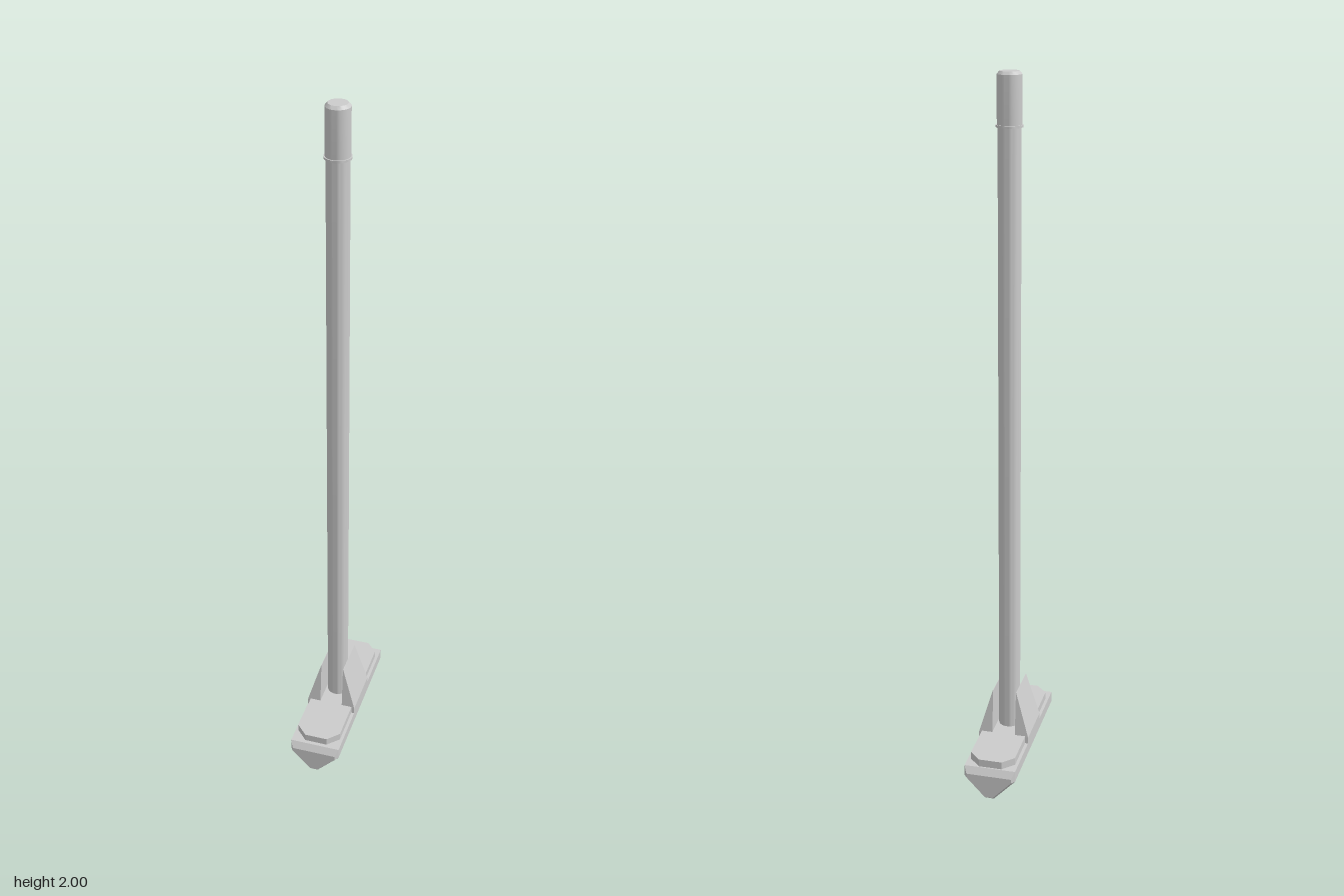
import * as THREE from 'three';
import { toCreasedNormals } from 'three/addons/utils/BufferGeometryUtils.js';

const AXIS_Z = -0.005; // pole, plate and brackets sit slightly behind centre

// Joins rings of [x, y, z] points with side walls and caps both ends.
// Rings run counter-clockwise as seen from the end they advance towards.
function loft(rings) {
  const n = rings[0].length;
  const index = [];
  for (let r = 0; r < rings.length - 1; r++) {
    for (let i = 0; i < n; i++) {
      const a = r * n + i, b = r * n + (i + 1) % n;
      index.push(a, b, b + n, a, b + n, a + n);
    }
  }
  const last = (rings.length - 1) * n;
  for (let i = 1; i < n - 1; i++) {
    index.push(0, i + 1, i, last, last + i, last + i + 1);
  }
  const geometry = new THREE.BufferGeometry();
  geometry.setAttribute('position', new THREE.Float32BufferAttribute(rings.flat(2), 3));
  geometry.setIndex(index);
  const flat = geometry.toNonIndexed();
  flat.computeVertexNormals();
  return flat;
}

export function createModel() {
  const group = new THREE.Group();
  const material = new THREE.MeshStandardMaterial({ color: 0xcccccc });
  const add = (name, geometry) => {
    const mesh = new THREE.Mesh(geometry, material);
    mesh.name = name;
    group.add(mesh);
    return mesh;
  };

  // Head: V-shaped keel with chamfered ends
  const body = [[-0.012, 0], [0.012, 0], [0.074, 0.065], [0.074, 0.097], [-0.074, 0.097], [-0.074, 0.065]];
  const end = [[-0.012, 0.01], [0.012, 0.01], [0.065, 0.066], [0.065, 0.078], [-0.065, 0.078], [-0.065, 0.066]];
  const ring = (profile, z) => profile.map(([x, y]) => [x, y, z]);
  add('head', loft([ring(end, -0.248), ring(body, -0.235), ring(body, 0.232), ring(end, 0.245)]));

  // Octagonal plate on top of the head
  const outline = [[0.033, -0.226], [0.065, -0.193], [0.065, 0.193], [0.033, 0.226],
    [-0.033, 0.226], [-0.065, 0.193], [-0.065, -0.193], [-0.033, -0.226]];
  const plateShape = new THREE.Shape(outline.map(([x, z]) => new THREE.Vector2(x, z)));
  const plate = new THREE.ExtrudeGeometry(plateShape, { depth: 0.028, bevelEnabled: false });
  plate.rotateX(-Math.PI / 2).translate(0, 0.091, AXIS_Z);
  add('topPlate', plate);

  // Wedge brackets either side of the pole
  const wedgeRing = (xOuter, y, halfLength) => [
    [0.034, y, -halfLength], [0.034, y, halfLength], [xOuter, y, halfLength], [xOuter, y, -halfLength]];
  const wedge = loft([wedgeRing(0.074, 0.095, 0.074), wedgeRing(0.074, 0.115, 0.073), wedgeRing(0.035, 0.25, 0.06)]);
  for (const [name, turn] of [['leftBracket', 0], ['rightBracket', Math.PI]]) {
    const bracket = add(name, wedge);
    bracket.rotation.y = turn;
    bracket.position.z = AXIS_Z;
  }

  // Round parts turned about the pole axis
  const turned = (name, profile) => {
    const points = profile.map(([r, y]) => new THREE.Vector2(r, y));
    const mesh = add(name, toCreasedNormals(new THREE.LatheGeometry(points, 32), 0.5));
    mesh.position.z = AXIS_Z;
  };
  turned('pole', [[0, 0.1], [0.031, 0.1], [0.031, 1.87], [0, 1.87]]);
  turned('gripCollar', [[0.03, 1.859], [0.036, 1.859], [0.036, 1.865], [0.03, 1.865]]);
  turned('grip', [[0, 1.862], [0.033, 1.862], [0.033, 1.992], [0.026, 2], [0, 2]]);

  return group;
}
